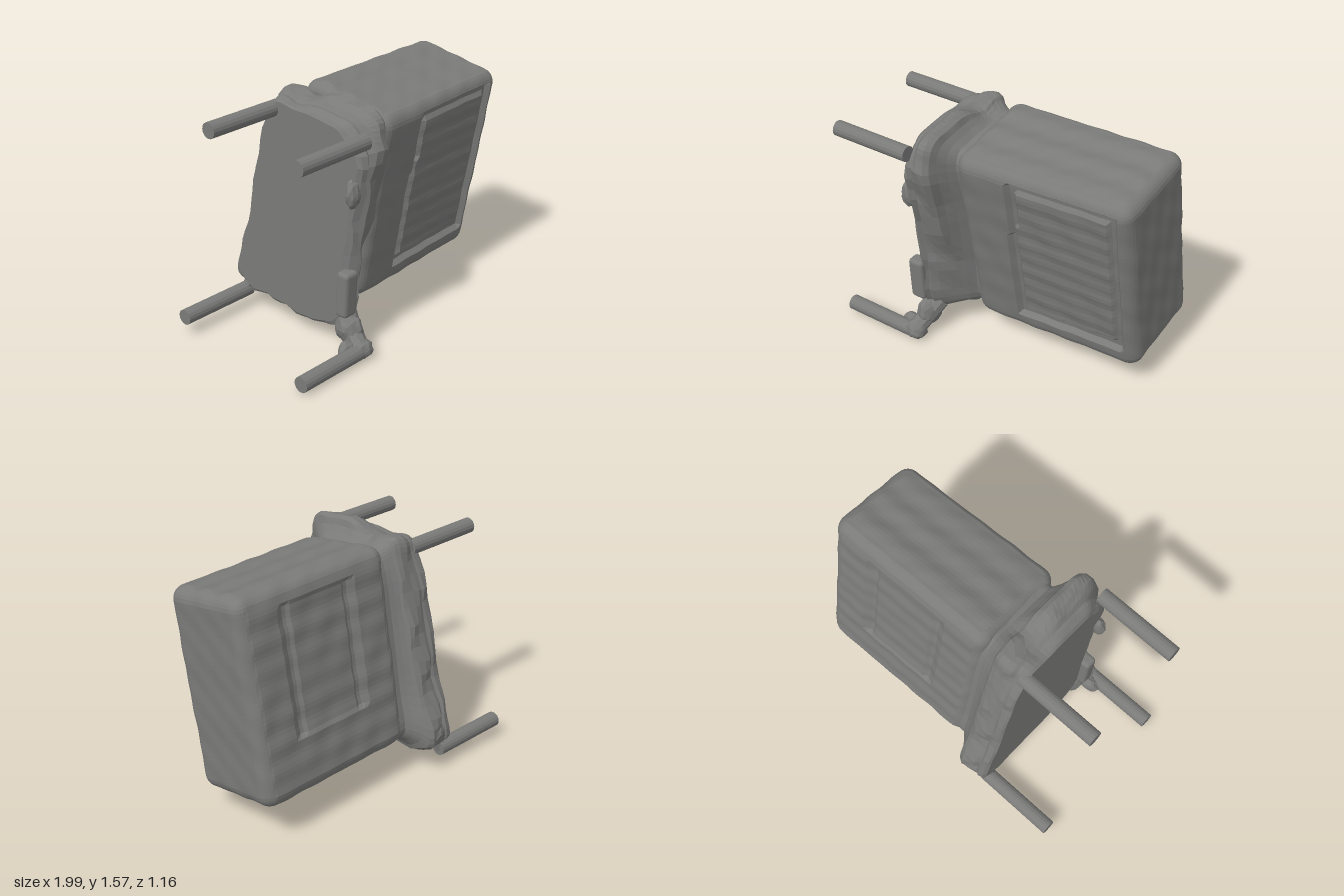
import * as THREE from 'three';
import { RoundedBoxGeometry } from 'three/addons/geometries/RoundedBoxGeometry.js';

const grey = new THREE.MeshStandardMaterial({ color: 0x7a7b79, flatShading: true });

function add(parent, name, geometry) {
  const mesh = new THREE.Mesh(geometry, grey);
  mesh.name = name;
  parent.add(mesh);
  return mesh;
}

// Smooth, repeatable unevenness depending only on position
const lump = (x, y, z) =>
  (Math.sin(x * 23 + y * 17) + Math.sin(y * 31 - z * 27 + 1.3) + Math.sin(z * 37 + x * 29 + y * 8)) / 3;

const smooth = THREE.MathUtils.smoothstep;

// Depth of the grooves and ripples pressed into each face of the case
function relief(p, n) {
  if (n.z > 0.95) { // framed front panel
    const left = 0.165 + 0.015 * p.y;
    const d = Math.max(left - p.x, p.x - 0.89, Math.abs(p.y - 0.035) - 0.545);
    if (d > 0) return 0;
    return d > -0.05 ? -0.032 : -0.01 + 0.0025 * Math.sin(p.y * 55 + p.x * 3);
  }
  if (n.z < -0.95) { // back with two shallow upright slots
    const inside = p.x > 0.1 && p.x < 0.68 && Math.abs(p.y - 0.12) < 0.4;
    const slot = Math.min(Math.abs(p.x - 0.15), Math.abs(p.x - 0.63)) < 0.025;
    return 0.003 * Math.sin(p.y * 40) - (inside ? (slot ? 0.025 : 0.012) : 0);
  }
  if (n.y > 0.95) return 0.005 * Math.cos(p.z * 34); // ribs along the top
  if (n.y < -0.95) { // pockets underneath
    const pocket = Math.abs(p.z) < 0.15 && (Math.abs(p.x - 0.2) < 0.08 || Math.abs(p.x - 0.6) < 0.08);
    return pocket ? -0.02 : 0;
  }
  return 0;
}

// Rounded case, slightly deeper at the end next to the plate
function caseGeometry() {
  const r = 0.09, x0 = -0.19, x1 = 0.985;
  const half = new THREE.Vector3((x1 - x0) / 2, 0.65, 0.33);
  const inner = half.clone().subScalar(r);
  const outer = inner.clone().negate();
  const g = new THREE.BoxGeometry(half.x * 2, half.y * 2, half.z * 2, 46, 48, 26);
  const pos = g.attributes.position;
  const p = new THREE.Vector3(), c = new THREE.Vector3(), n = new THREE.Vector3();
  for (let i = 0; i < pos.count; i++) {
    p.fromBufferAttribute(pos, i);
    c.copy(p).clamp(outer, inner);
    n.copy(p).sub(c).normalize();
    p.copy(c).addScaledVector(n, r);
    p.x += (x0 + x1) / 2;
    p.addScaledVector(n, relief(p, n) + 0.004 * lump(p.x, p.y, p.z));
    p.x += 0.012 * p.y * smooth(p.x, 0, 1);
    p.z *= 1.025 - 0.04 * smooth(p.x, -0.2, 1);
    p.z += 0.015 - 0.035 * smooth(p.x, -0.2, 1);
    pos.setXYZ(i, p.x, p.y, p.z);
  }
  g.computeVertexNormals();
  return g;
}

// Mounting plate: sections along x blend from the outer rim to the neck, points are [z, y]
function plateGeometry() {
  const rim = [[.57, 1.4], [.5, 1.53], [.35, 1.56], [.2, 1.58], [0, 1.53], [-.2, 1.555], [-.25, 1.42],
    [-.37, .98], [-.46, .6], [-.57, .28], [-.48, .17], [-.2, .15], [.05, .115], [.3, .16], [.42, .25],
    [.45, .6], [.5, 1]];
  const neck = [[.38, 1.36], [.34, 1.43], [.25, 1.45], [.12, 1.47], [0, 1.48], [-.15, 1.49], [-.21, 1.4],
    [-.3, .98], [-.37, .6], [-.42, .34], [-.38, .28], [-.2, .25], [0, .22], [.1, .21], [.17, .25],
    [.22, .6], [.3, 1]];
  // [x, blend toward the neck]
  const layers = [[-.495, .3], [-.48, .13], [-.445, .03], [-.425, .14], [-.4, .02], [-.36, 0], [-.31, 0],
    [-.28, .15], [-.265, .45], [-.235, .75], [-.2, 1], [-.12, 1]];
  const N = 84, verts = [], index = [];
  const sample = (list) => new THREE.CatmullRomCurve3(
    list.map(([z, y]) => new THREE.Vector3(0, y, z)), true, 'centripetal');
  const a = sample(rim), b = sample(neck);
  layers.forEach(([x, t0], i) => {
    for (let j = 0; j < N; j++) {
      const p = a.getPoint(j / N);
      // The lower front slopes evenly to the case, the top slopes down to the outer face
      const slope = (1 - smooth(p.y, 0.3, 1.2)) * smooth(p.z, 0, 0.3) * smooth(x, -0.46, -0.16);
      const top = 0.6 * smooth(p.y, 1.25, 1.5) * smooth(-x, 0.34, 0.48);
      const t = Math.min(1, Math.max(t0, slope) + top);
      p.lerp(b.getPoint(j / N), t);
      const k = 0.016 * (1 - t) * lump(x, p.y, p.z);
      verts.push(x + (i ? k * 0.5 : 0), p.y + k, p.z + k);
      if (i < layers.length - 1) {
        const j2 = (j + 1) % N, u = i * N, v = u + N;
        index.push(u + j, v + j, u + j2, u + j2, v + j, v + j2);
      }
    }
  });
  // Flat outer face
  const centre = verts.length / 3;
  verts.push(-0.495, 0.85, 0.03);
  for (let j = 0; j < N; j++) index.push(centre, j, (j + 1) % N);
  const g = new THREE.BufferGeometry();
  g.setAttribute('position', new THREE.Float32BufferAttribute(verts, 3));
  g.setIndex(index);
  g.computeVertexNormals();
  return g;
}

// Uneven blob with given centre and radii
function blob(parent, name, centre, radii) {
  const g = new THREE.IcosahedronGeometry(1, 2);
  const pos = g.attributes.position;
  const p = new THREE.Vector3();
  const size = new THREE.Vector3(...radii);
  for (let i = 0; i < pos.count; i++) {
    p.fromBufferAttribute(pos, i);
    p.multiplyScalar(1 + 0.12 * lump(p.x * 0.2, p.y * 0.2, p.z * 0.2)).multiply(size);
    pos.setXYZ(i, p.x, p.y, p.z);
  }
  g.computeVertexNormals();
  add(parent, name, g).position.set(...centre);
}

function arm(parent, name, points, radius) {
  const curve = new THREE.CatmullRomCurve3(points.map((p) => new THREE.Vector3(...p)));
  add(parent, name, new THREE.TubeGeometry(curve, 8, radius, 9));
}

export function createModel() {
  const model = new THREE.Group();
  model.name = 'mountedCase';

  // Case leans toward the front at the top
  const body = add(model, 'case', caseGeometry());
  body.position.set(0, 0.865, -0.02);
  body.rotation.x = THREE.MathUtils.degToRad(10.5);

  add(model, 'mountingPlate', plateGeometry());

  // Corner feet of the plate
  blob(model, 'frontFoot', [-0.47, 0.08, 0.51], [0.075, 0.065, 0.07]);
  blob(model, 'frontFootTip', [-0.54, 0.08, 0.46], [0.07, 0.06, 0.045]);
  blob(model, 'frontFootWeb', [-0.45, 0.17, 0.39], [0.07, 0.1, 0.1]);
  arm(model, 'frontFootArm', [[-0.4, 0.24, 0.33], [-0.44, 0.16, 0.41], [-0.47, 0.09, 0.49]], 0.06);
  blob(model, 'rearCorner', [-0.38, 0.28, -0.48], [0.11, 0.09, 0.09]);
  arm(model, 'rearFootArm', [[-0.42, 0.27, -0.46], [-0.46, 0.19, -0.47], [-0.48, 0.12, -0.48]], 0.035);

  // Clip and knob on the front edge of the plate
  const clip = add(model, 'edgeClip', new RoundedBoxGeometry(0.11, 0.3, 0.09, 2, 0.025));
  clip.position.set(-0.495, 0.43, 0.415);
  clip.rotation.x = 0.06;
  blob(model, 'edgeKnob', [-0.5, 1.09, 0.47], [0.05, 0.09, 0.04]);

  // Four rods reaching out from the plate corners, [y, z]
  const rods = [[1.41, 0.52], [1.45, -0.18], [0.07, 0.52], [0.135, -0.485]];
  for (const [y, z] of rods) {
    const rod = add(model, 'rod', new THREE.CylinderGeometry(0.05, 0.05, 0.55, 16));
    rod.rotation.z = Math.PI / 2;
    rod.position.set(-0.725, y, z);
  }
  return model;
}
